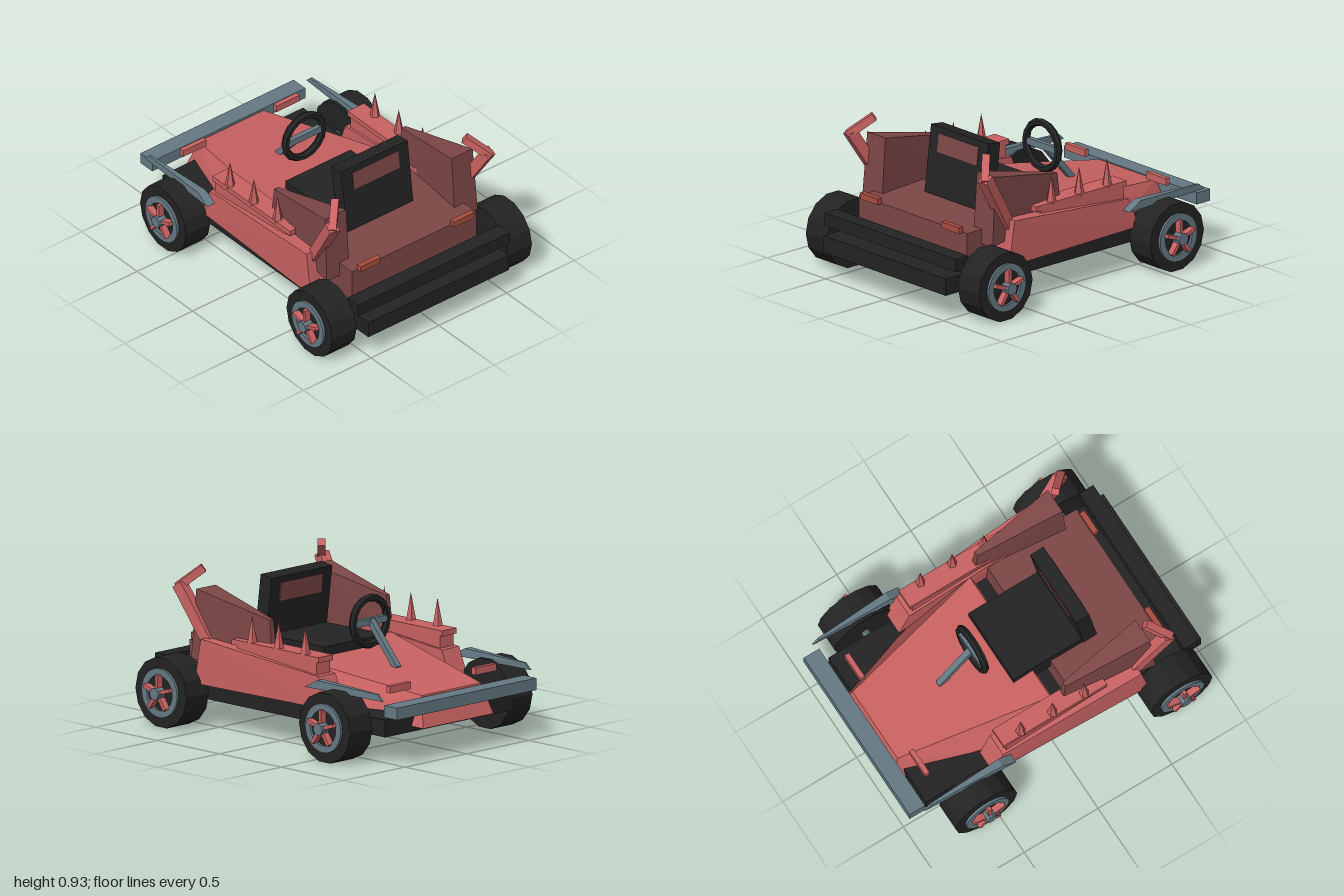
import * as THREE from 'three';
import { ConvexGeometry } from 'three/addons/geometries/ConvexGeometry.js';

const mat = (name, color) => {
  const m = new THREE.MeshStandardMaterial({ color, flatShading: true });
  m.name = name;
  return m;
};

export function createModel() {
  const red = mat('body red', 0xc96262);
  const darkRed = mat('dark red', 0x7e4747);
  const black = mat('black', 0x232323);
  const steel = mat('steel', 0x657a84);
  const lamp = mat('tail lamp', 0xa94c3e);
  const model = new THREE.Group();
  model.name = 'kart';

  const add = (name, geo, material, parent = model) => {
    const mesh = new THREE.Mesh(geo, material);
    mesh.name = name;
    parent.add(mesh);
    return mesh;
  };
  // Box given by its min and max on each axis
  const box = (name, material, [x0, x1], [y0, y1], [z0, z1]) => {
    const m = add(name, new THREE.BoxGeometry(x1 - x0, y1 - y0, z1 - z0), material);
    m.position.set((x0 + x1) / 2, (y0 + y1) / 2, (z0 + z1) / 2);
    return m;
  };
  // Convex solid from corner points, optionally mirrored in x
  const solid = (name, material, pts, side = 1) =>
    add(name, new ConvexGeometry(pts.map(([x, y, z]) => new THREE.Vector3(x * side, y, z))), material);
  // Square bar between two points
  const bar = (name, material, a, b, w) => {
    const p = new THREE.Vector3(...a), q = new THREE.Vector3(...b);
    const m = add(name, new THREE.BoxGeometry(w, w, p.distanceTo(q)), material);
    m.position.copy(p).lerp(q, 0.5);
    m.lookAt(q);
    return m;
  };
  const range = (s, a, b) => (s > 0 ? [a, b] : [-b, -a]);

  // Chassis, bumpers and rear deck
  box('chassis', black, [-0.52, 0.52], [0.16, 0.262], [-0.86, 1]);
  box('plainBumper', black, [-0.56, 0.56], [0.303, 0.38], [0.86, 0.957]);
  box('steelBumper', steel, [-0.565, 0.565], [0.29, 0.36], [-1, -0.895]);
  box('rearDeck', darkRed, [-0.46, 0.46], [0.26, 0.47], [0.16, 0.78]);

  // Tapered hood
  const hood = [];
  for (const s of [-1, 1]) {
    hood.push([0.43 * s, 0.49, 0.04], [0.24 * s, 0.364, -0.875],
      [0.51 * s, 0.27, 0.09], [0.285 * s, 0.185, -0.932], [0.44 * s, 0.24, -0.4]);
  }
  solid('hood', red, hood);

  // Seat
  box('seatBase', black, [-0.24, 0.24], [0.38, 0.525], [-0.09, 0.4]);
  const back = add('seatBack', new THREE.BoxGeometry(0.49, 0.4, 0.09), black);
  back.position.set(0, 0.67, 0.4);
  const pad = add('headrest', new THREE.BoxGeometry(0.338, 0.11, 0.1), darkRed);
  pad.position.set(0, 0.777, 0.386);
  back.rotation.x = pad.rotation.x = -0.127;

  // Steering
  const rim = add('steeringRim', new THREE.TorusGeometry(0.138, 0.023, 6, 16), black);
  rim.position.set(0, 0.66, -0.217);
  box('steeringCrossbar', steel, [-0.13, 0.13], [0.64, 0.68], [-0.235, -0.205]);
  bar('steeringColumn', steel, [0, 0.665, -0.225], [0, 0.42, -0.44], 0.036);

  for (const s of [-1, 1]) {
    // Side pod with slanted ends
    solid('sidePod', red, [
      [0.43, 0.447, -0.37], [0.57, 0.447, -0.37], [0.43, 0.265, -0.44], [0.575, 0.265, -0.44],
      [0.43, 0.53, 0.545], [0.605, 0.53, 0.545], [0.46, 0.265, 0.59], [0.61, 0.265, 0.59]], s);
    // Spiked rail
    box('spikeRail', red, range(s, 0.44, 0.56), [0.523, 0.555], [-0.36, 0.34]);
    box('railSupport', red, range(s, 0.445, 0.555), [0.4, 0.525], [-0.34, 0.3]);
    for (const z of [-0.23, -0.015, 0.2]) {
      add('spike', new THREE.ConeGeometry(0.032, 0.17, 5), red).position.set(0.535 * s, 0.63, z);
    }
    // Rear fin
    solid('rearFin', darkRed, [
      [0.455, 0.69, 0.107], [0.485, 0.69, 0.107], [0.45, 0.45, 0.08], [0.49, 0.45, 0.08],
      [0.39, 0.8, 0.64], [0.545, 0.8, 0.64], [0.39, 0.385, 0.67], [0.557, 0.385, 0.67]], s);
    // Bent horn behind the fin
    bar('hornLower', red, [0.53 * s, 0.48, 0.53], [0.575 * s, 0.82, 0.745], 0.065);
    bar('hornUpper', red, [0.585 * s, 0.8, 0.755], [0.477 * s, 0.913, 0.648], 0.046);
    // Steel fender
    solid('fender', steel, [
      [0.565, 0.39, -0.32], [0.63, 0.39, -0.32], [0.575, 0.44, -0.41], [0.625, 0.44, -0.41],
      [0.59, 0.427, -0.88], [0.603, 0.427, -0.88], [0.593, 0.39, -0.92], [0.603, 0.39, -0.92]], s);
    // Lamps
    box('hoodLamp', red, range(s, 0.26, 0.43), [0.395, 0.437], [-0.81, -0.78]);
    box('tailLamp', lamp, range(s, 0.27, 0.42), [0.464, 0.502], [0.775, 0.808]);
  }

  // Wheels and axles
  const cyl = (name, material, r, x0, x1, sides, parent) => {
    const m = add(name, new THREE.CylinderGeometry(r, r, x1 - x0, sides), material, parent);
    m.rotation.z = Math.PI / 2;
    m.position.x = (x0 + x1) / 2;
    return m;
  };
  const ringShape = new THREE.Shape().absarc(0, 0, 0.143, 0, Math.PI * 2);
  ringShape.holes.push(new THREE.Path().absarc(0, 0, 0.103, 0, Math.PI * 2, true));
  const ringGeo = new THREE.ExtrudeGeometry(ringShape, { depth: 0.03, bevelEnabled: false, curveSegments: 20 });
  ringGeo.rotateY(Math.PI / 2);
  for (const z of [-0.588, 0.733]) {
    const axle = new THREE.Group();
    axle.name = 'axle';
    axle.position.set(0, 0.207, z);
    model.add(axle);
    cyl('axleRod', steel, 0.026, -0.57, 0.57, 10, axle);
    for (const s of [-1, 1]) {
      const wheel = new THREE.Group();
      wheel.name = 'wheel';
      wheel.rotation.y = s > 0 ? 0 : Math.PI;
      axle.add(wheel);
      cyl('tyre', black, 0.207, 0.558, 0.737, 14, wheel);
      add('wheelRing', ringGeo, steel, wheel).position.x = 0.722;
      cyl('hub', steel, 0.036, 0.73, 0.795, 10, wheel);
      for (let i = 0; i < 5; i++) {
        const a = (i * Math.PI * 2) / 5;
        const spoke = add('spoke', new THREE.BoxGeometry(0.04, 0.09, 0.022), red, wheel);
        spoke.position.set(0.757, 0.065 * Math.cos(a), 0.065 * Math.sin(a));
        spoke.rotation.x = a;
      }
    }
  }
  return model;
}
